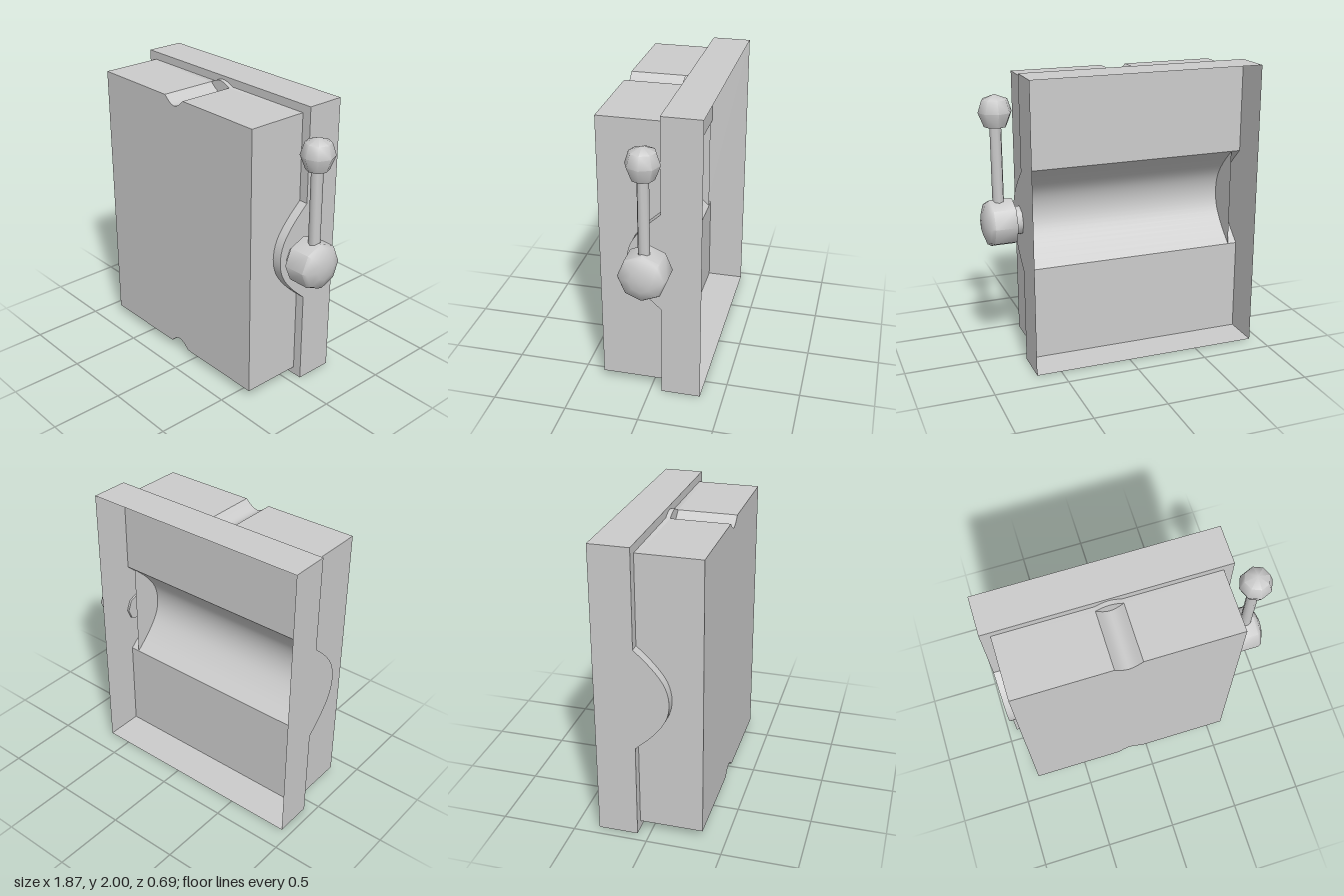
import * as THREE from 'three';
import { toCreasedNormals } from 'three/addons/utils/BufferGeometryUtils.js';

const grey = new THREE.MeshStandardMaterial({ color: 0xcccccc });
const sheet = new THREE.MeshStandardMaterial({ color: 0xcccccc, side: THREE.DoubleSide });
const V = (x, y) => new THREE.Vector2(x, y);

function add(parent, name, geometry, material = grey) {
  const mesh = new THREE.Mesh(geometry, material);
  mesh.name = name;
  parent.add(mesh);
  return mesh;
}

// Thin wall following a 2D outline, running from z0 to z1
function wall(points, z0, z1) {
  const pos = [];
  for (let i = 0; i < points.length - 1; i++) {
    const a = points[i], b = points[i + 1];
    pos.push(a.x, a.y, z0, b.x, b.y, z0, b.x, b.y, z1);
    pos.push(a.x, a.y, z0, b.x, b.y, z1, a.x, a.y, z1);
  }
  const g = new THREE.BufferGeometry();
  g.setAttribute('position', new THREE.Float32BufferAttribute(pos, 3));
  return toCreasedNormals(g, 0.6);
}

const face = (points, z) => new THREE.ShapeGeometry(new THREE.Shape(points)).translate(0, 0, z);

// Eight-sided turned part
function turned(profile) {
  const g = new THREE.LatheGeometry(profile.map(([r, y]) => V(r, y)), 8);
  return toCreasedNormals(g, 0.9);
}

// Shallow arc from x = -0.225 to -0.045, rising by h from height y
function arc(y, h) {
  const pts = [];
  for (let i = 0; i <= 8; i++) {
    const t = i / 8;
    pts.push(V(-0.225 + 0.18 * t, y + h * Math.sin(Math.PI * t)));
  }
  return pts;
}

// Cover outline with arcs at top and bottom; positive h bulges outward
function coverOutline(h) {
  const pts = [V(-0.87, 0.055), ...arc(0.055, -h), V(0.605, 0.055), V(0.605, 1.945)];
  pts.push(...arc(1.945, h).reverse(), V(-0.87, 1.945), V(-0.87, 0.055));
  return pts;
}

export function createModel() {
  const model = new THREE.Group();

  // Back frame: open at the back, with a rounded channel across its front plate
  const frame = new THREE.Group();
  frame.name = 'backFrame';
  model.add(frame);
  const channel = new THREE.SplineCurve([
    V(0.08, 0.655), V(-0.035, 0.765), V(-0.118, 0.88), V(-0.145, 1.0),
    V(-0.118, 1.125), V(-0.035, 1.24), V(0.08, 1.35),
  ]).getPoints(24);
  const profile = [V(0.345, 0), V(0.08, 0), ...channel, V(0.08, 2), V(0.345, 2)];
  add(frame, 'frameShell', wall(profile, -0.935, 0.67).rotateY(Math.PI / 2), sheet);
  for (const x of [-0.935, 0.67]) {
    add(frame, 'frameSide', face(profile, x).rotateY(Math.PI / 2), sheet);
  }

  // Front cover with a groove in its top and bottom
  const cover = new THREE.Group();
  cover.name = 'frontCover';
  model.add(cover);
  const grooved = coverOutline(-0.055);
  add(cover, 'coverWalls', wall(grooved, -0.05, 0.345), sheet);
  add(cover, 'coverFace', face(grooved.slice(0, -1), 0.345), sheet);
  add(cover, 'coverBase', wall(coverOutline(0.03), -0.08, -0.05), sheet);

  // Lens-shaped tabs closing the inner ends of the grooves
  for (const [y, s] of [[0.055, -1], [1.945, 1]]) {
    const lens = [...arc(y, 0.03 * s), ...arc(y, -0.055 * s).reverse().slice(1, -1)];
    add(cover, 'grooveTab', face(lens, -0.05), sheet);
  }

  // Side lever
  const lever = new THREE.Group();
  lever.name = 'lever';
  model.add(lever);
  const onAxle = (g) => g.rotateZ(-Math.PI / 2).translate(0, 1, -0.01);
  add(lever, 'leverShaft', onAxle(turned([[0, 0.655], [0.1, 0.655], [0.1, 0.73]])));
  add(lever, 'leverHub', onAxle(turned([
    [0, 0.72], [0.16, 0.72], [0.16, 0.87], [0.145, 0.895], [0.075, 0.922], [0, 0.93],
  ])));
  const upright = (g) => g.translate(0.812, 0, -0.01);
  add(lever, 'leverRod', upright(turned([[0.039, 1.05], [0.039, 1.68]])));
  add(lever, 'leverKnob', upright(turned([
    [0, 1.655], [0.075, 1.655], [0.112, 1.75], [0.085, 1.832], [0, 1.865],
  ])));

  return model;
}
